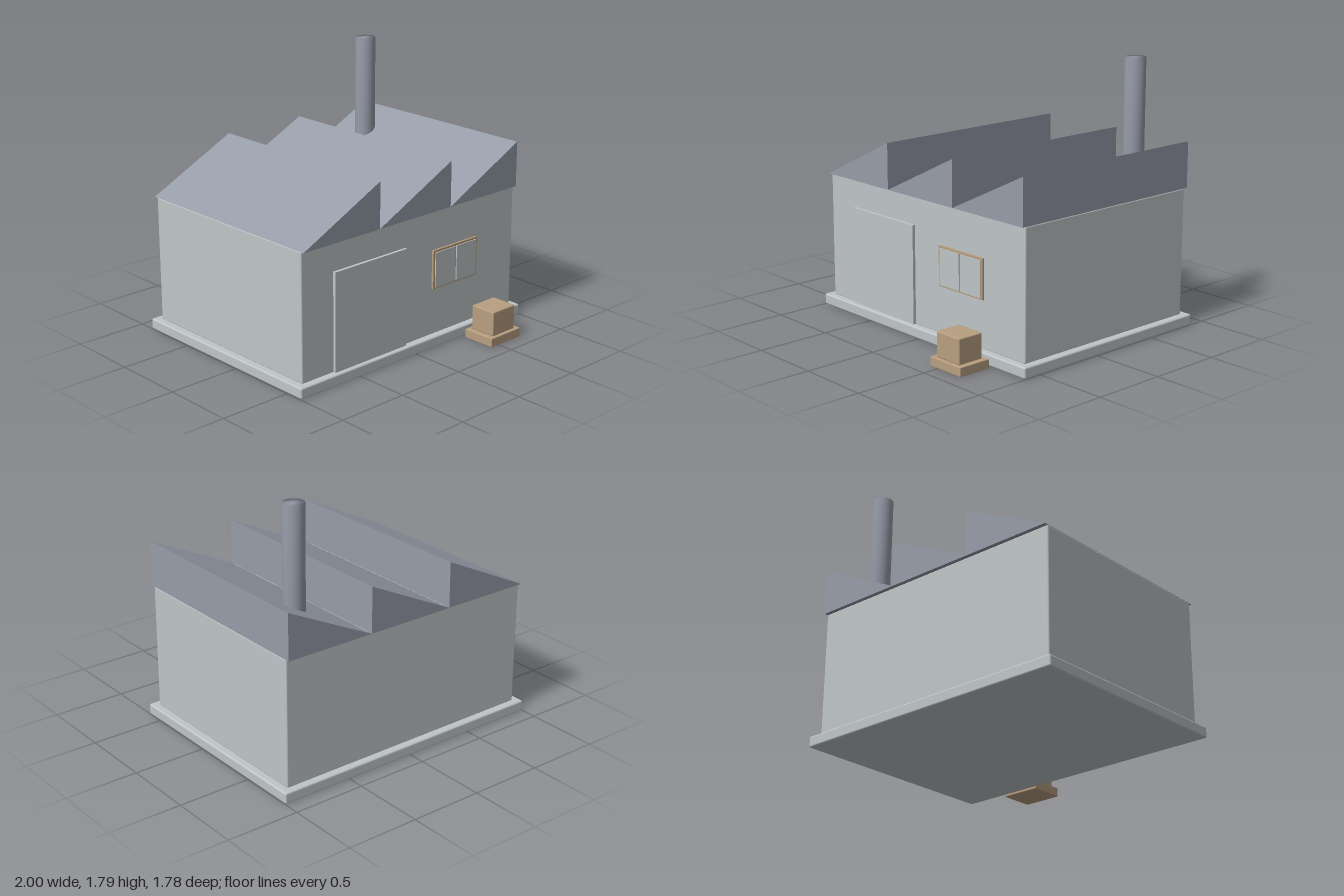
import * as THREE from 'three';
import { RoundedBoxGeometry } from 'three/addons/geometries/RoundedBoxGeometry.js';
import { mergeVertices } from 'three/addons/utils/BufferGeometryUtils.js';

const flat = (name, color) => {
  const material = new THREE.MeshStandardMaterial({ color });
  material.name = name;
  return material;
};

export function createModel() {
  const model = new THREE.Group();
  model.name = 'factory';
  const concrete = flat('concrete', 0xbfc5c7);
  const slate = flat('slate', 0x969ca9);
  const wood = flat('wood', 0xb89f80);

  const add = (name, geometry, material) => {
    const mesh = new THREE.Mesh(geometry, material);
    mesh.name = name;
    model.add(mesh);
    return mesh;
  };

  // Box given by its extents; a radius softens its edges
  const box = (name, material, [x0, x1], [y0, y1], [z0, z1], radius = 0) => {
    const size = [x1 - x0, y1 - y0, z1 - z0];
    const geometry = radius
      ? new RoundedBoxGeometry(...size, 2, radius)
      : new THREE.BoxGeometry(...size);
    add(name, geometry, material)
      .position.set((x0 + x1) / 2, (y0 + y1) / 2, (z0 + z1) / 2);
  };

  // Foundation and hall
  box('foundation', concrete, [-1, 1], [0, 0.075], [-0.89, 0.63], 0.012);
  box('walls', concrete, [-0.95, 0.95], [0.07, 0.932], [-0.84, 0.582], 0.01);

  // Sawtooth roof: three wedges, each with its upright face towards +x
  const toothWidth = 1.9 / 3;
  const tooth = new THREE.Shape([
    new THREE.Vector2(0, 0),
    new THREE.Vector2(toothWidth, 0),
    new THREE.Vector2(toothWidth, 0.31),
  ]);
  const toothGeometry = new THREE.ExtrudeGeometry(tooth, { depth: 1.47, bevelEnabled: false });
  for (let i = 0; i < 3; i++) {
    add('roofTooth' + (i + 1), toothGeometry, slate)
      .position.set(-0.95 + i * toothWidth, 0.93, -0.865);
  }

  // Chimney, with normals shared between its side and caps
  let pipe = new THREE.CylinderGeometry(0.07, 0.07, 0.86, 32);
  pipe.deleteAttribute('normal');
  pipe.deleteAttribute('uv');
  pipe = mergeVertices(pipe);
  pipe.computeVertexNormals();
  add('chimney', pipe, slate).position.set(0.71, 1.36, -0.607);

  // Sliding door
  box('door', concrete, [-0.69, -0.075], [0.075, 0.74], [0.57, 0.602]);

  // Window frame with two panes
  box('windowFrame', wood, [0.175, 0.585], [0.393, 0.66], [0.57, 0.597]);
  box('windowPaneRight', concrete, [0.19, 0.374], [0.405, 0.646], [0.597, 0.604]);
  box('windowPaneLeft', concrete, [0.386, 0.57], [0.405, 0.646], [0.597, 0.604]);

  // Crate on its pallet
  box('pallet', wood, [0.43, 0.71], [0, 0.062], [0.655, 0.89], 0.005);
  box('crate', wood, [0.465, 0.675], [0.06, 0.23], [0.68, 0.868], 0.008);

  return model;
}
